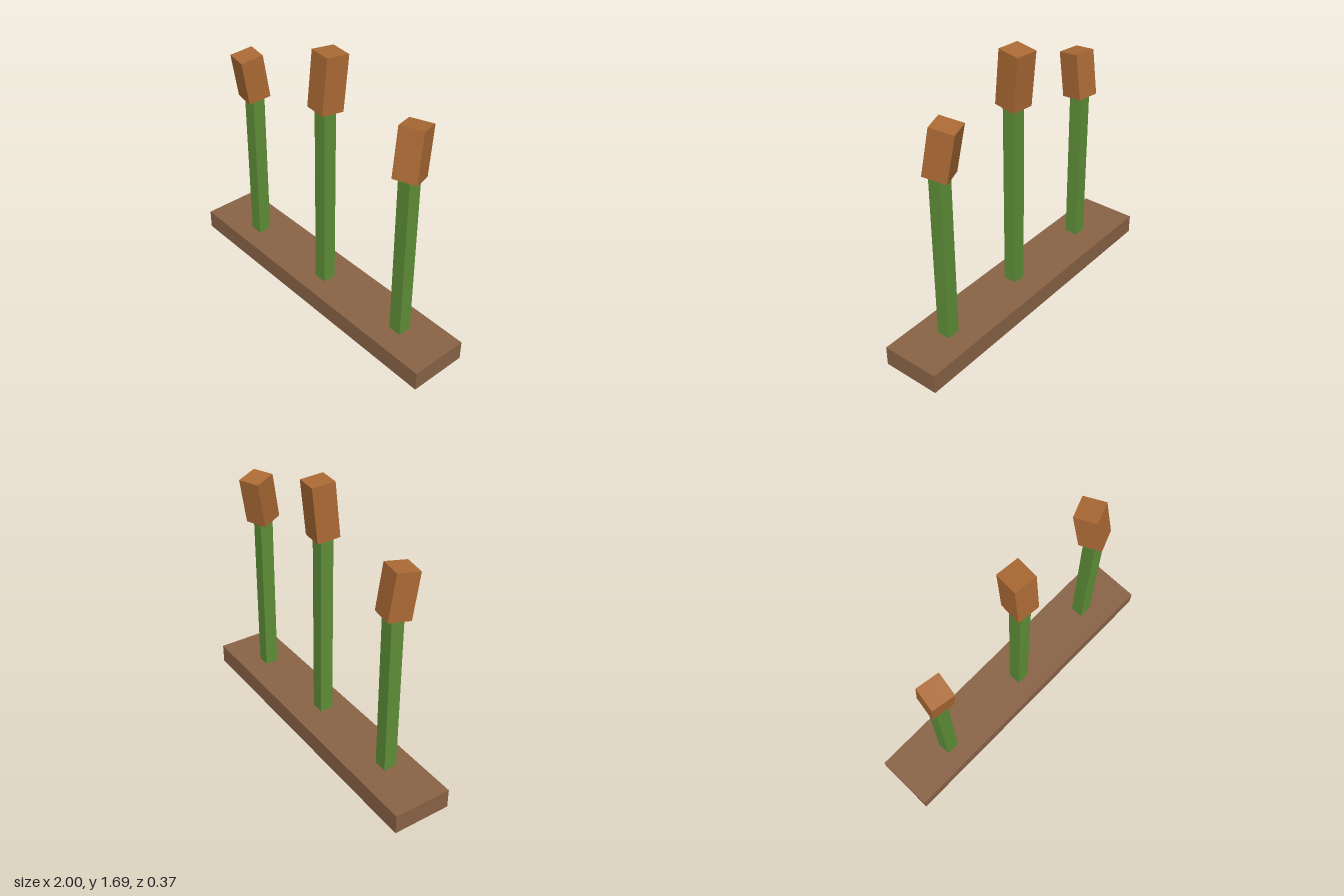
import * as THREE from 'three';

const paint = (name, color) => {
  const m = new THREE.MeshStandardMaterial({ color, side: THREE.DoubleSide });
  m.name = name;
  return m;
};

// Box standing on y = 0 with no bottom face
function openBox(w, h, d) {
  const g = new THREE.BoxGeometry(w, h, d).translate(0, h / 2, 0);
  const index = Array.from(g.index.array);
  index.splice(18, 6); // the fourth face is the bottom
  g.setIndex(index);
  g.clearGroups();
  return g;
}

export function createModel() {
  const soil = paint('soil brown', 0x8a6446);
  const green = paint('stalk green', 0x5f9038);
  const tan = paint('head brown', 0xad6b35);

  const model = new THREE.Group();
  model.name = 'cattails';

  const add = (name, geometry, material, x, y, z) => {
    const mesh = new THREE.Mesh(geometry, material);
    mesh.name = name;
    mesh.position.set(x, y, z);
    model.add(mesh);
    return mesh;
  };

  // Ground slab, hollow underneath
  const baseHeight = 0.125;
  add('base', openBox(2, baseHeight, 0.373), soil, 0, 0, 0);

  // Each plant: stalk position, stalk top, head height, head tilt and yaw
  const plants = [
    { side: 'right', x: -0.625, z: 0.025, top: 1.148, head: 0.288, tilt: 0.14, yaw: -0.165 },
    { side: 'middle', x: 0.037, z: 0.023, top: 1.338, head: 0.345, tilt: -0.097, yaw: -0.1 },
    { side: 'left', x: 0.68, z: 0, top: 1.197, head: 0.3, tilt: -0.18, yaw: 0.37 },
  ];
  for (const p of plants) {
    add(p.side + 'Stalk', openBox(0.085, p.top - baseHeight, 0.085), green, p.x, baseHeight, p.z);
    const head = add(p.side + 'Head', openBox(0.145, p.head, 0.145), tan, p.x, p.top, p.z);
    head.rotation.set(p.tilt, p.yaw, 0, 'YXZ');
  }
  return model;
}
